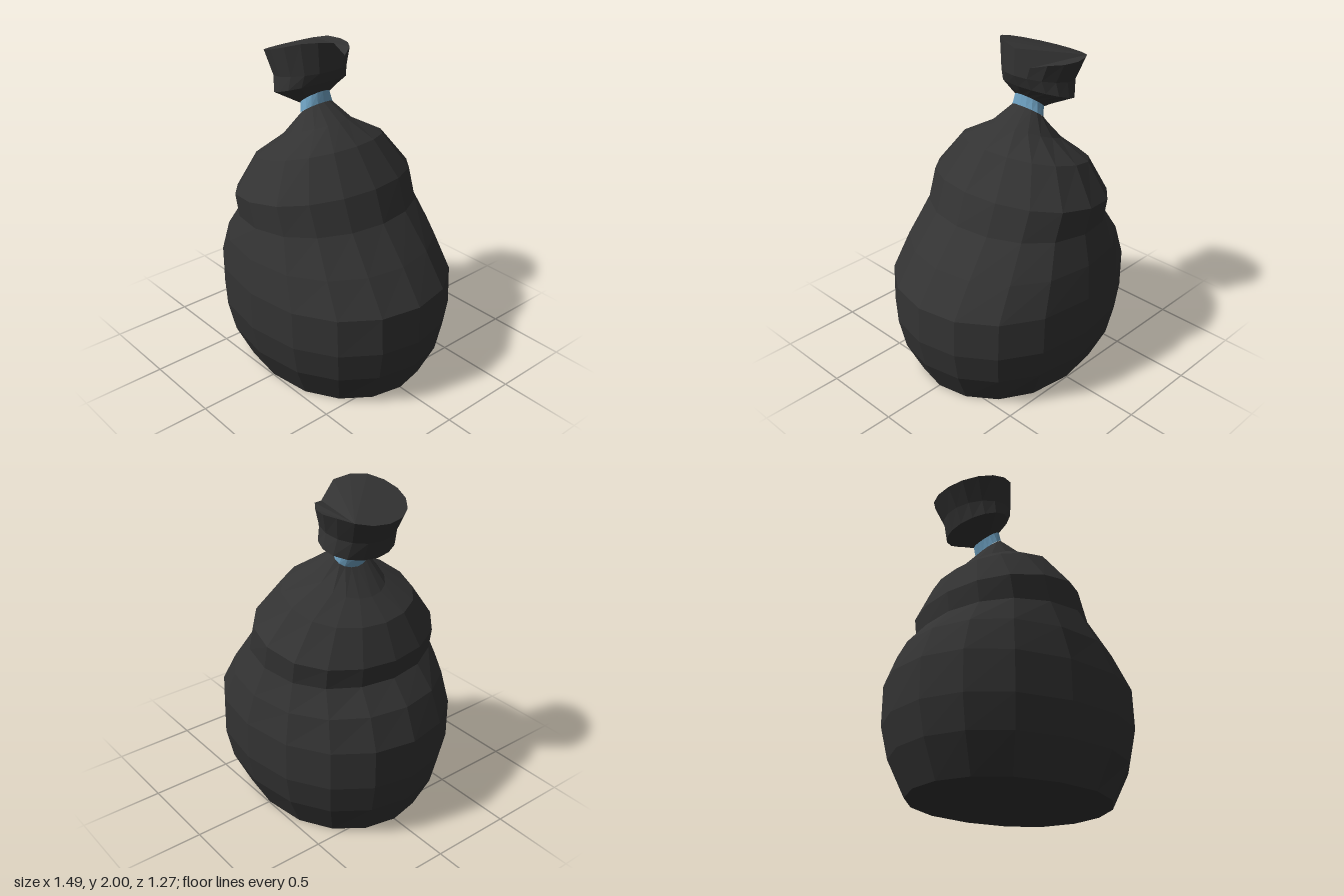
import * as THREE from 'three';

const SIDES = 16;

// Tilted oval ring, from its low end (xl, yl) to its high end (xr, yr), with half depth d
function ring(xl, yl, xr, yr, d, zc = 0, power = 0.88) {
  const points = [];
  for (let k = 0; k < SIDES; k++) {
    const a = (k / SIDES) * Math.PI * 2;
    const c = Math.cos(a);
    const u = Math.sign(c) * Math.pow(Math.abs(c), power);
    points.push(new THREE.Vector3(
      (xl + xr) / 2 + u * (xr - xl) / 2,
      (yl + yr) / 2 + u * (yr - yl) / 2,
      zc + Math.sin(a) * d
    ));
  }
  return points;
}

// Faceted skin through a stack of rings, optionally closed at either end
function loft(name, rings, color, capBottom = false, capTop = false, pivot = 0) {
  const positions = [];
  const index = [];
  rings.forEach(r => r.forEach(p => positions.push(p.x, p.y, p.z)));
  const last = (rings.length - 1) * SIDES;
  for (let k = 0; k < SIDES; k++) {
    const n = (k + 1) % SIDES;
    for (let r = 0; r < rings.length - 1; r++) {
      const a = r * SIDES + k, b = r * SIDES + n;
      index.push(a, a + SIDES, b, b, a + SIDES, b + SIDES);
    }
    if (k === pivot || n === pivot) continue;
    if (capBottom) index.push(pivot, k, n);
    if (capTop) index.push(last + pivot, last + n, last + k);
  }
  let geometry = new THREE.BufferGeometry();
  geometry.setAttribute('position', new THREE.Float32BufferAttribute(positions, 3));
  geometry.setIndex(index);
  geometry = geometry.toNonIndexed();
  geometry.computeVertexNormals();
  const mesh = new THREE.Mesh(geometry, new THREE.MeshStandardMaterial({ color, flatShading: true }));
  mesh.name = name;
  return mesh;
}

export function createModel() {
  const group = new THREE.Group();
  group.name = 'tiedSack';
  const plastic = 0x333333;

  // Full sack, leaning to one side with a fold above the bulge
  group.add(loft('sackBody', [
    ring(-0.60, 0, 0.60, 0, 0.495),
    ring(-0.70, 0.21, 0.70, 0.21, 0.595),
    ring(-0.745, 0.40, 0.74, 0.40, 0.635),
    ring(-0.745, 0.64, 0.73, 0.63, 0.635),
    ring(-0.67, 0.83, 0.59, 0.83, 0.6),
    ring(-0.555, 0.965, 0.42, 1.04, 0.54),
    ring(-0.565, 1.08, 0.35, 1.23, 0.545),
    ring(-0.475, 1.28, 0.19, 1.44, 0.395),
    ring(-0.35, 1.39, 0.04, 1.54, 0.2),
    ring(-0.225, 1.53, -0.095, 1.625, 0.105)
  ], plastic, true, true));

  // Tie around the neck
  group.add(loft('neckTie', [
    ring(-0.225, 1.53, -0.095, 1.625, 0.108, 0, 1),
    ring(-0.245, 1.585, -0.105, 1.69, 0.095, 0, 1)
  ], 0x6fa3c4));

  // Rim of the gathered top, with its back edge folded down
  const rim = ring(-0.505, 1.87, -0.03, 2.02, 0.257, -0.018, 1);
  rim.forEach((p, k) => {
    p.y = Math.min(p.y, k === 0 ? 1.985 : 2);
    if (k > 10) p.y = Math.min(p.y, k === 15 ? 1.89 : 1.91);
  });

  // Gathered top flaring out above the tie
  group.add(loft('gatheredTop', [
    ring(-0.245, 1.585, -0.105, 1.69, 0.095, 0, 1),
    ring(-0.405, 1.645, -0.06, 1.755, 0.235, -0.015, 1),
    ring(-0.44, 1.75, -0.03, 1.825, 0.22, -0.012, 1),
    rim
  ], plastic, true, true, 10));

  return group;
}
